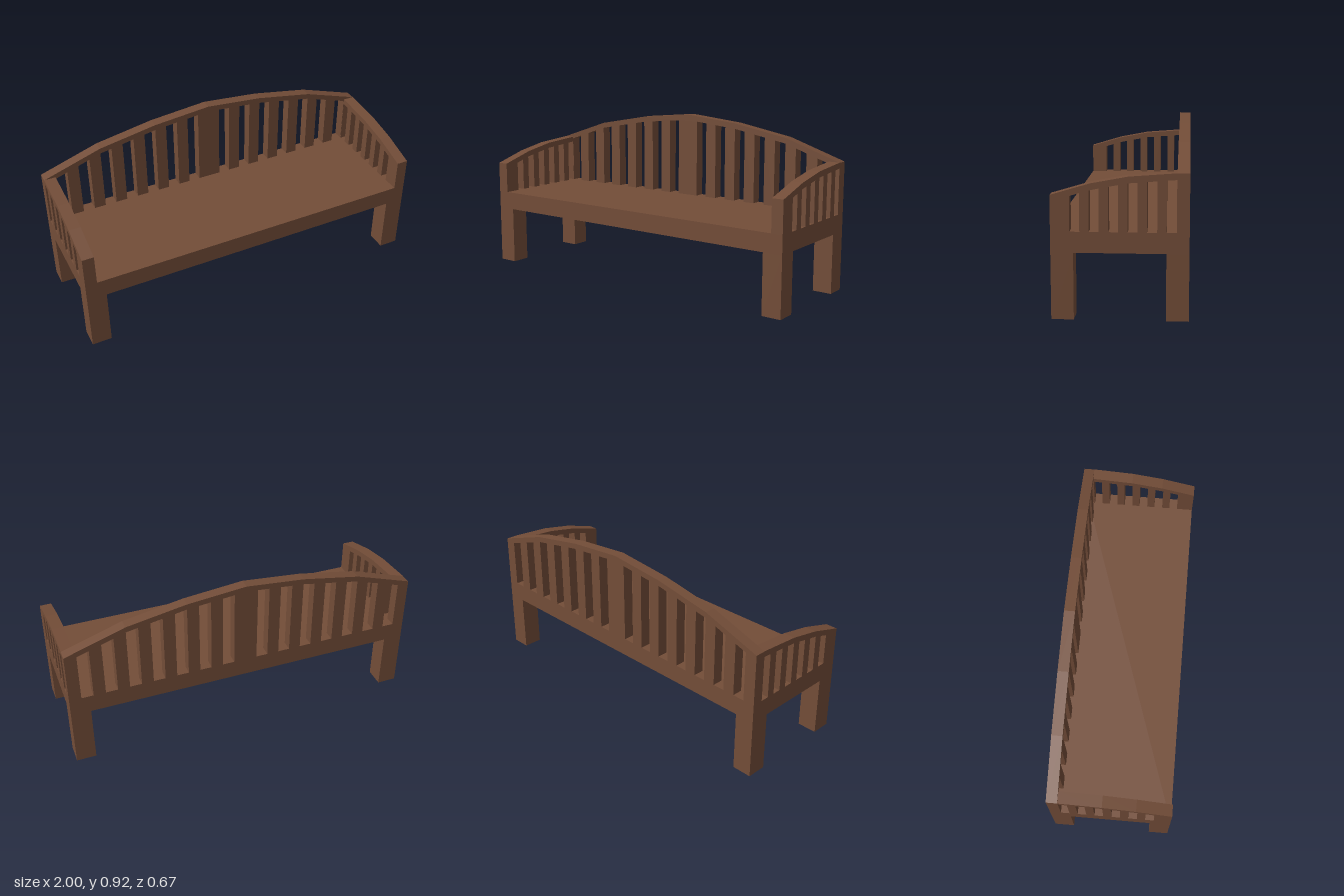
import * as THREE from 'three';

const SEAT_TOP = 0.435, SEAT_BOTTOM = 0.332, HALF_DEPTH = 0.333;
const BACK_THICK = 0.06, ARM_THICK = 0.065, RAIL = 0.032;

const wood = new THREE.MeshStandardMaterial({ color: 0x734d38, flatShading: true });

// Height of a polyline crest [[u, y], ...] (u ascending) at u
function heightAt(crest, u) {
  for (let i = 1; i < crest.length; i++) {
    const [u0, y0] = crest[i - 1], [u1, y1] = crest[i];
    if (u <= u1) return y0 + (y1 - y0) * (u - u0) / (u1 - u0);
  }
  return crest[crest.length - 1][1];
}

// Slatted panel standing on the seat: a crest on top, gaps cut up from the bottom
function slattedPanel(crest, gaps, depth) {
  const first = crest[0][0], last = crest[crest.length - 1][0];
  const points = [[first, SEAT_TOP]];
  for (const [a, b] of gaps) {
    points.push([a, SEAT_TOP], [a, heightAt(crest, a) - RAIL],
      [b, heightAt(crest, b) - RAIL], [b, SEAT_TOP]);
  }
  points.push([last, SEAT_TOP], ...crest.slice().reverse());
  const shape = new THREE.Shape(points.map(([u, y]) => new THREE.Vector2(u, y)));
  return new THREE.ExtrudeGeometry(shape, { depth, bevelEnabled: false });
}

export function createModel() {
  const bench = new THREE.Group();
  bench.name = 'bench';
  const add = (name, geometry, x, y, z) => {
    const mesh = new THREE.Mesh(geometry, wood);
    mesh.name = name;
    mesh.position.set(x, y, z);
    bench.add(mesh);
  };

  // Seat slab
  add('seat', new THREE.BoxGeometry(2, SEAT_TOP - SEAT_BOTTOM, HALF_DEPTH * 2),
    0, (SEAT_TOP + SEAT_BOTTOM) / 2, 0);

  // Four square legs
  const leg = new THREE.BoxGeometry(0.11, SEAT_BOTTOM, 0.11);
  for (const [side, sx] of [['Left', 1], ['Right', -1]]) {
    for (const [end, sz] of [['front', 1], ['back', -1]]) {
      add(`${end}${side}Leg`, leg, sx * 0.945, SEAT_BOTTOM / 2, sz * (HALF_DEPTH - 0.055));
    }
  }

  // Arched backrest with seven gaps on each side of a wide centre slat
  const backCrest = [[-1, 0.72], [-0.667, 0.83], [-0.333, 0.89], [0, 0.922],
    [0.333, 0.89], [0.667, 0.83], [1, 0.72]];
  const backGaps = [];
  for (let k = 0; k < 7; k++) {
    const a = (1 + 2 * k) / 15, b = (2 + 2 * k) / 15;
    backGaps.push([a, b], [-b, -a]);
  }
  backGaps.sort((p, q) => p[0] - q[0]);
  add('backrest', slattedPanel(backCrest, backGaps, BACK_THICK), 0, 0, -HALF_DEPTH);

  // Slatted arms rising towards the back
  const armCrest = [[-HALF_DEPTH + BACK_THICK, 0.721], [-0.04, 0.703], [0.14, 0.669], [HALF_DEPTH, 0.612]];
  const armGaps = [];
  for (let k = 0; k < 6; k++) {
    const a = -0.272 + k * 0.0928;
    armGaps.push([a, a + 0.048]);
  }
  const arm = slattedPanel(armCrest, armGaps, ARM_THICK);
  arm.rotateY(-Math.PI / 2);
  add('leftArm', arm, 1, 0, 0);
  add('rightArm', arm, -1 + ARM_THICK, 0, 0);

  return bench;
}
